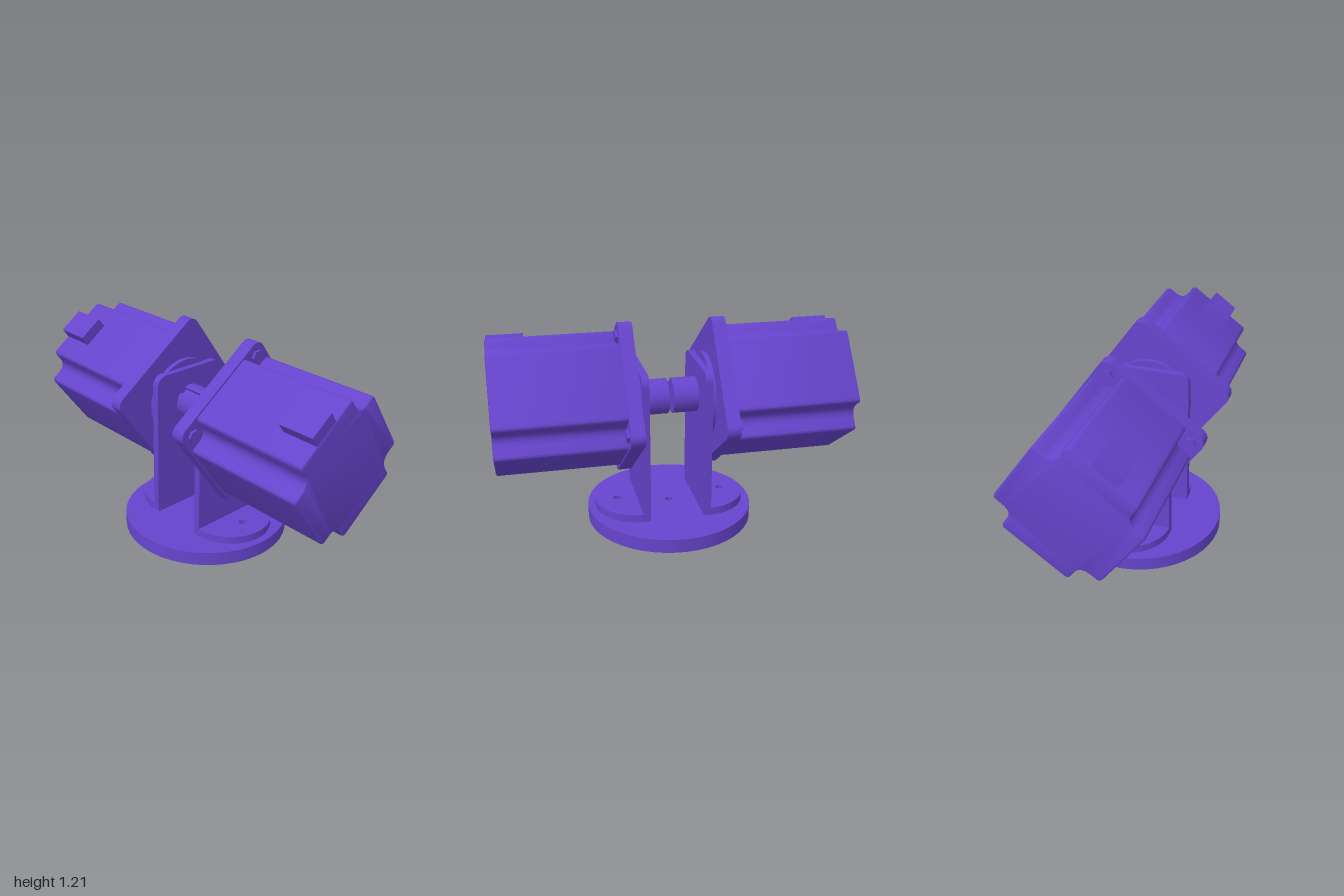
import * as THREE from 'three';
import { toCreasedNormals } from 'three/addons/utils/BufferGeometryUtils.js';

const material = new THREE.MeshStandardMaterial({ color: 0x6644cc });
const AXIS_HEIGHT = 0.74;   // motor shaft above the underside of the base
const MOTOR_ROLL = 0.63;    // roll of the motors about their shaft

function mesh(name, geometry) {
  const m = new THREE.Mesh(geometry, material);
  m.name = name;
  return m;
}

// Extrudes a shape from z0 to z1, optionally with bevelled ends.
function slab(shape, z0, z1, bevel = 0) {
  const geometry = new THREE.ExtrudeGeometry(shape, {
    depth: z1 - z0 - 2 * bevel, curveSegments: 24,
    bevelEnabled: bevel > 0, bevelThickness: bevel, bevelSize: bevel,
    bevelOffset: -bevel, bevelSegments: 2,
  });
  geometry.translate(0, 0, z0 + bevel);
  return toCreasedNormals(geometry, 0.5);
}

function circlePath(x, y, r) {
  return new THREE.Path().absarc(x, y, r, 0, Math.PI * 2, true);
}

function roundedSquare(half, r) {
  const s = new THREE.Shape();
  const c = half - r;
  [[c, c], [-c, c], [-c, -c], [c, -c]].forEach(([x, y], i) =>
    s.absarc(x, y, r, i * Math.PI / 2, (i + 1) * Math.PI / 2, false));
  s.closePath();
  return s;
}

// Square with a rounded notch cut out of every corner.
function notchedSquare(h, n, r, R) {
  const s = new THREE.Shape();
  for (let k = 0; k < 4; k++) {
    const c = Math.round(Math.cos(k * Math.PI / 2));
    const d = Math.round(Math.sin(k * Math.PI / 2));
    const p = (x, y) => [c * x - d * y, d * x + c * y];
    if (k === 0) s.moveTo(...p(h, n - r));
    else s.lineTo(...p(h, n - r));
    s.quadraticCurveTo(...p(h, n), ...p(h - r, n));
    s.lineTo(...p(n + R, n));
    s.quadraticCurveTo(...p(n, n), ...p(n, n + R));
    s.lineTo(...p(n, h - r));
    s.quadraticCurveTo(...p(n, h), ...p(n - r, h));
  }
  s.closePath();
  return s;
}

// Round hub with a keyway on its +y side.
function hubShape(r, halfSlot, depth) {
  const s = new THREE.Shape();
  const a = Math.asin(halfSlot / r);
  s.absarc(0, 0, r, Math.PI / 2 + a, Math.PI * 2.5 - a, false);
  s.lineTo(halfSlot, r - depth);
  s.lineTo(-halfSlot, r - depth);
  s.closePath();
  return s;
}

// Motor built along +z, away from the middle of the model.
function createMotor() {
  const g = new THREE.Group();
  g.add(mesh('shaftHub', slab(hubShape(0.1, 0.02, 0.022), 0.013, 0.2)));
  const pilot = new THREE.Shape().absarc(0, 0, 0.24, 0, Math.PI * 2, false);
  g.add(mesh('pilotRing', slab(pilot, 0.19, 0.225)));
  g.add(mesh('mountingFlange', slab(roundedSquare(0.345, 0.055), 0.218, 0.295)));
  g.add(mesh('motorBody', slab(notchedSquare(0.335, 0.212, 0.025, 0.065), 0.27, 0.993, 0.012)));

  // Plug housing on the rear of the upper face
  const plug = new THREE.BoxGeometry(0.155, 0.1, 0.205);
  plug.translate(0, 0.348, 0.886);
  g.add(mesh('connector', plug));

  // Hex bolts in the corner notches
  for (const x of [-0.276, 0.276]) {
    for (const y of [-0.276, 0.276]) {
      const bolt = new THREE.CylinderGeometry(0.036, 0.036, 0.03, 6).toNonIndexed();
      bolt.computeVertexNormals();
      bolt.rotateX(Math.PI / 2).translate(x, y, 0.296);
      g.add(mesh('flangeBolt', bolt));
    }
  }
  return g;
}

// Upright plate with a half-round foot, on the side given by +1 or -1.
function createBracket(side) {
  const g = new THREE.Group();
  const w = 0.243, top = 0.94, r = 0.06;
  const plate = new THREE.Shape();
  plate.moveTo(-w, 0.08);
  plate.lineTo(w, 0.08);
  plate.absarc(w - r, top - r, r, 0, Math.PI / 2, false);
  plate.absarc(r - w, top - r, r, Math.PI / 2, Math.PI, false);
  plate.closePath();
  const plateGeometry = slab(plate, 0.155, 0.196);
  plateGeometry.rotateY(side * Math.PI / 2);
  g.add(mesh('bracketPlate', plateGeometry));

  const foot = new THREE.Shape();
  foot.moveTo(0.16, -w);
  foot.absarc(0.195, 0, w, -Math.PI / 2, Math.PI / 2, false);
  foot.lineTo(0.16, w);
  foot.closePath();
  foot.holes.push(circlePath(0.31, 0, 0.022));
  const footGeometry = slab(foot, 0.08, 0.125);
  footGeometry.rotateX(-Math.PI / 2);
  if (side < 0) footGeometry.rotateY(Math.PI);
  g.add(mesh('bracketFoot', footGeometry));
  return g;
}

export function createModel() {
  const model = new THREE.Group();
  model.name = 'twinMotorStand';
  const stand = new THREE.Group();
  stand.name = 'stand';

  // Round base with three screw holes
  const disc = new THREE.Shape().absarc(0, 0, 0.48, 0, Math.PI * 2, false);
  for (const x of [-0.31, 0, 0.31]) disc.holes.push(circlePath(x, 0, 0.022));
  const baseGeometry = slab(disc, 0, 0.08);
  baseGeometry.rotateX(-Math.PI / 2);
  stand.add(mesh('base', baseGeometry));

  for (const side of [-1, 1]) {
    const bracket = createBracket(side);
    bracket.name = side > 0 ? 'leftBracket' : 'rightBracket';
    const motor = createMotor();
    motor.name = side > 0 ? 'leftMotor' : 'rightMotor';
    motor.position.y = AXIS_HEIGHT;
    motor.rotation.set(0, side * Math.PI / 2, side * MOTOR_ROLL);
    stand.add(bracket, motor);
  }

  // The whole assembly leans very slightly
  stand.rotation.set(-0.021, 0.015, -0.006);
  stand.position.set(-0.012, 0.0105, 0);
  model.add(stand);
  return model;
}
